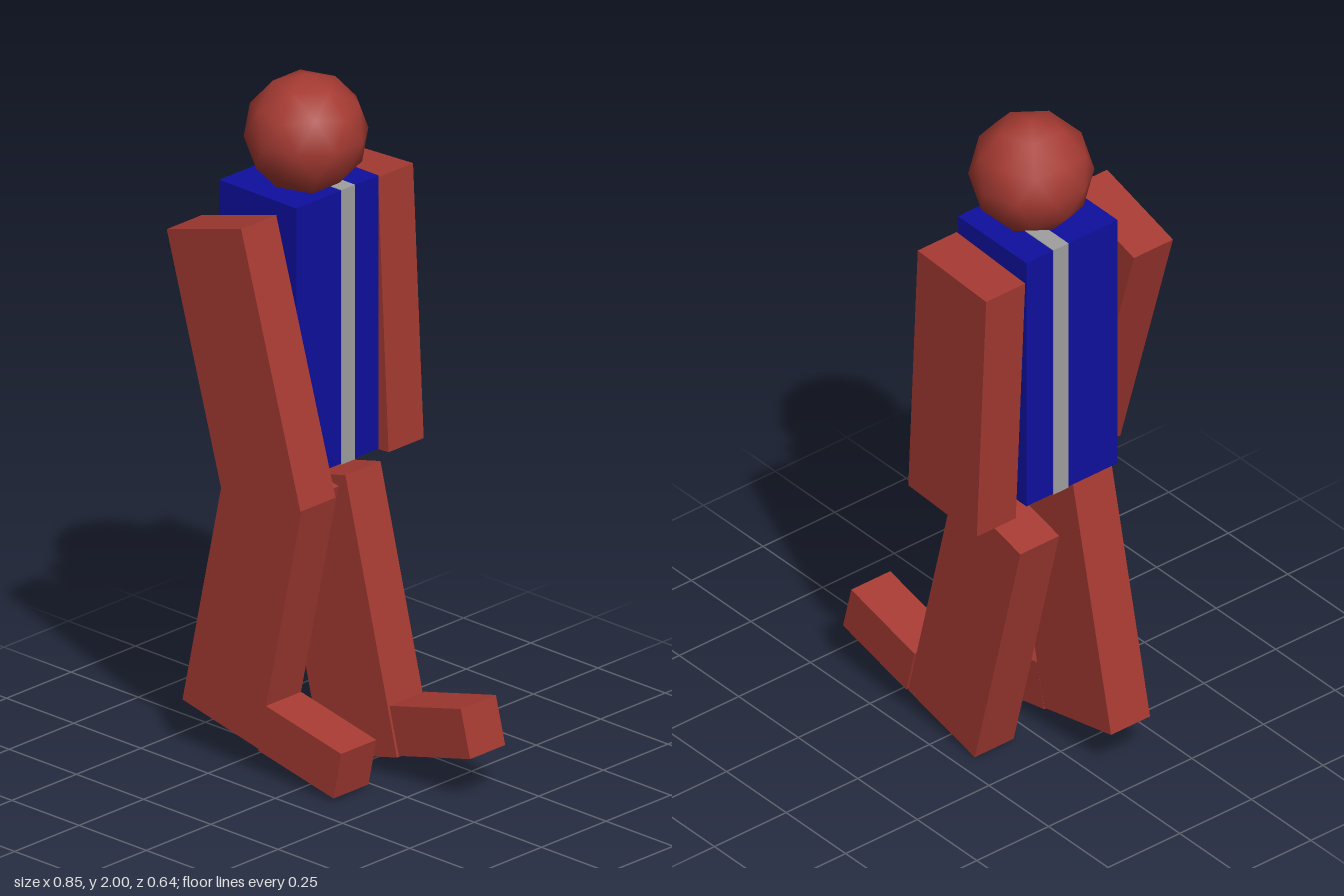
import * as THREE from 'three';

const red = new THREE.MeshStandardMaterial({ color: 0xa53a32 });
const blue = new THREE.MeshStandardMaterial({ color: 0x0f0f9f });
const grey = new THREE.MeshStandardMaterial({ color: 0xa0a0a0 });

export function createModel() {
  const model = new THREE.Group();

  // Adds a box by size and centre, swung about z
  function block(name, material, [w, h, d], [x, y, z], swing = 0) {
    const mesh = new THREE.Mesh(new THREE.BoxGeometry(w, h, d), material);
    mesh.name = name;
    mesh.position.set(x, y, z);
    mesh.rotation.z = swing;
    model.add(mesh);
  }

  // Torso with a stripe wrapped around it
  block('torso', blue, [0.288, 0.795, 0.318], [-0.149, 1.292, 0.004]);
  block('torsoStripe', grey, [0.292, 0.799, 0.052], [-0.149, 1.292, -0.036]);

  // Arms and legs share one size, each with its own swing
  const limb = [0.288, 0.79, 0.136];
  block('frontArm', red, limb, [-0.089, 1.241, 0.251], 0.283);
  block('rearArm', red, limb, [-0.159, 1.265, -0.252], 0.05);
  block('frontLeg', red, limb, [-0.203, 0.493, 0.096], -0.215);
  block('rearLeg', red, limb, [-0.08, 0.419, -0.127], 0.245);

  // Feet point towards +x
  block('frontFoot', red, [0.286, 0.141, 0.136], [0.008, 0.111, 0.096], -0.205);
  block('rearFoot', red, [0.274, 0.14, 0.136], [0.272, 0.176, -0.133], 0.25);

  // Head: smooth-shaded icosphere with a vertex at the top
  const sphere = new THREE.IcosahedronGeometry(0.17, 1);
  sphere.rotateX(-Math.atan((1 + Math.sqrt(5)) / 2));
  sphere.rotateY(Math.PI / 2);
  const head = new THREE.Mesh(sphere, red);
  head.name = 'head';
  head.position.set(-0.123, 1.83, 0.003);
  model.add(head);

  return model;
}
